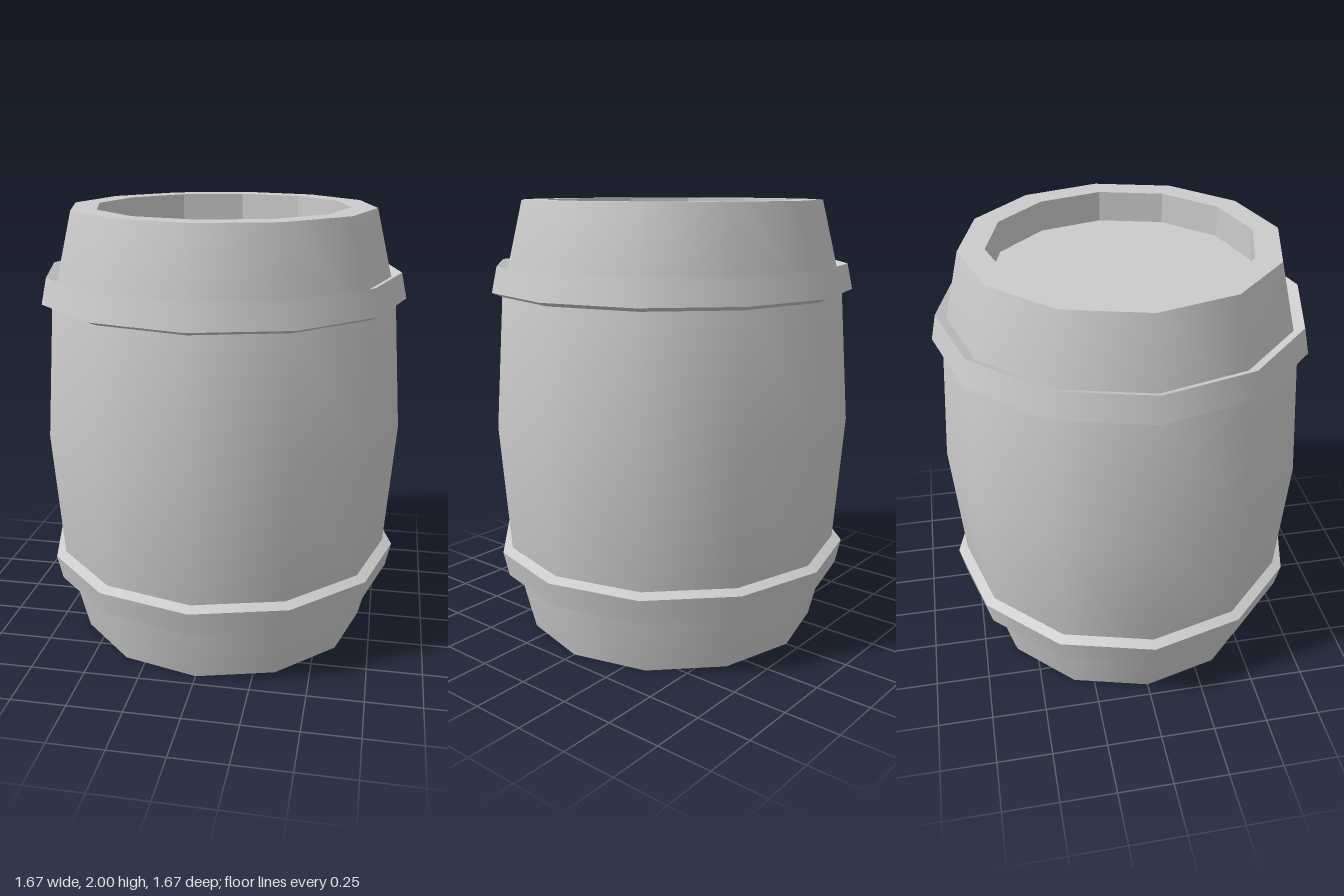
import * as THREE from 'three';
import { mergeGeometries } from 'three/addons/utils/BufferGeometryUtils.js';

const SIDES = 12;
const material = new THREE.MeshStandardMaterial({ color: 0xcccccc });

// Revolve one run of profile points: smooth around, or faceted if flat
function ring(points, flat = false) {
  const profile = points.map(([r, y]) => new THREE.Vector2(r, y));
  const geometry = new THREE.LatheGeometry(profile, SIDES).toNonIndexed();
  if (flat) geometry.computeVertexNormals();
  return geometry;
}

function part(name, geometries) {
  const mesh = new THREE.Mesh(mergeGeometries(geometries), material);
  mesh.name = name;
  return mesh;
}

// Same profile upside down, reversed so the faces keep pointing outward
const flip = (points) => points.map(([r, y]) => [r, 2 - y]).reverse();

export function createModel() {
  const barrel = new THREE.Group();
  barrel.name = 'barrel';

  // Bulging stave wall
  const staves = [[0.69, 0], [0.79, 0.41], [0.833, 1], [0.79, 1.59], [0.69, 2]];
  barrel.add(part('staves', [ring(staves)]));

  // Rim, recess wall and sunken lid; the base mirrors the top
  const rim = [[0.69, 2], [0.575, 2]];
  const recess = [[0.575, 2], [0.575, 1.86]];
  const lid = [[0.575, 1.86], [0, 1.86]];
  for (const [name, turn] of [['top', (p) => p], ['base', flip]]) {
    barrel.add(part(name + 'Rim', [ring(turn(rim), true), ring(turn(recess), true)]));
    barrel.add(part(name + 'Lid', [ring(turn(lid))]));
  }

  // Hoops: lip towards the barrel end, flared face, bevel towards the middle
  const hoop = [[0.763, 0.3], [0.81, 0.28], [0.835, 0.395], [0.788, 0.415]];
  for (const [name, points] of [['lowerHoop', hoop], ['upperHoop', flip(hoop)]]) {
    barrel.add(part(name, [0, 1, 2].map((i) => ring(points.slice(i, i + 2)))));
  }
  return barrel;
}
